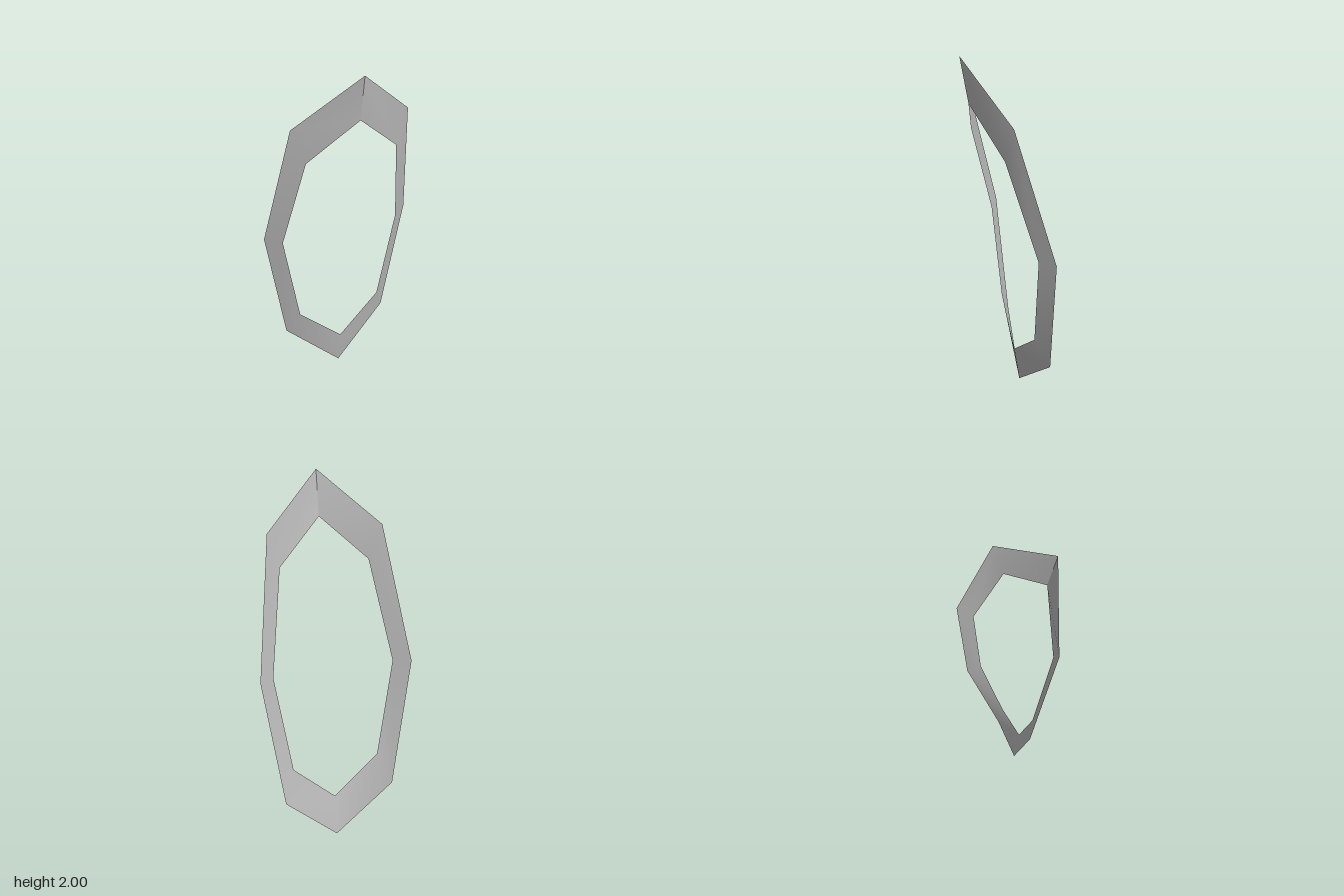
import * as THREE from 'three';

// Half outlines from the top point to the bottom point, on the +x side
const OUTER = [[0, 2, 0.19], [0.305, 1.73, 0.04], [0.415, 1.03, -0.15], [0.312, 0.31, -0.19], [0, 0, -0.14]];
const INNER = [[0, 1.77, 0.15], [0.24, 1.55, 0.057], [0.332, 1.02, -0.09], [0.245, 0.47, -0.12], [0, 0.235, -0.104]];

// Full loop: down the -x side, back up the +x side; the top point is doubled for a crease
function fullLoop(half) {
  const mirrored = half.map(([x, y, z]) => [-x, y, z]);
  return [...mirrored, ...half.slice(0, -1).reverse()];
}

// Single-sheet strip between two matching loops
function ringStrip(outer, inner) {
  const positions = [];
  const indices = [];
  outer.forEach((point, i) => {
    positions.push(...point, ...inner[i]);
    if (i === outer.length - 1) return;
    const o = 2 * i;
    indices.push(o, o + 2, o + 1, o + 2, o + 3, o + 1);
  });
  const geometry = new THREE.BufferGeometry();
  geometry.setAttribute('position', new THREE.Float32BufferAttribute(positions, 3));
  geometry.setIndex(indices);
  geometry.computeVertexNormals();
  return geometry;
}

export function createModel() {
  const model = new THREE.Group();
  model.name = 'bentFrame';

  const grey = new THREE.MeshStandardMaterial({ color: 0xbcbcbc, side: THREE.DoubleSide });
  grey.name = 'grey';

  // Thin eight-sided border, folded along its centre
  const border = new THREE.Mesh(ringStrip(fullLoop(OUTER), fullLoop(INNER)), grey);
  border.name = 'border';
  model.add(border);
  return model;
}
